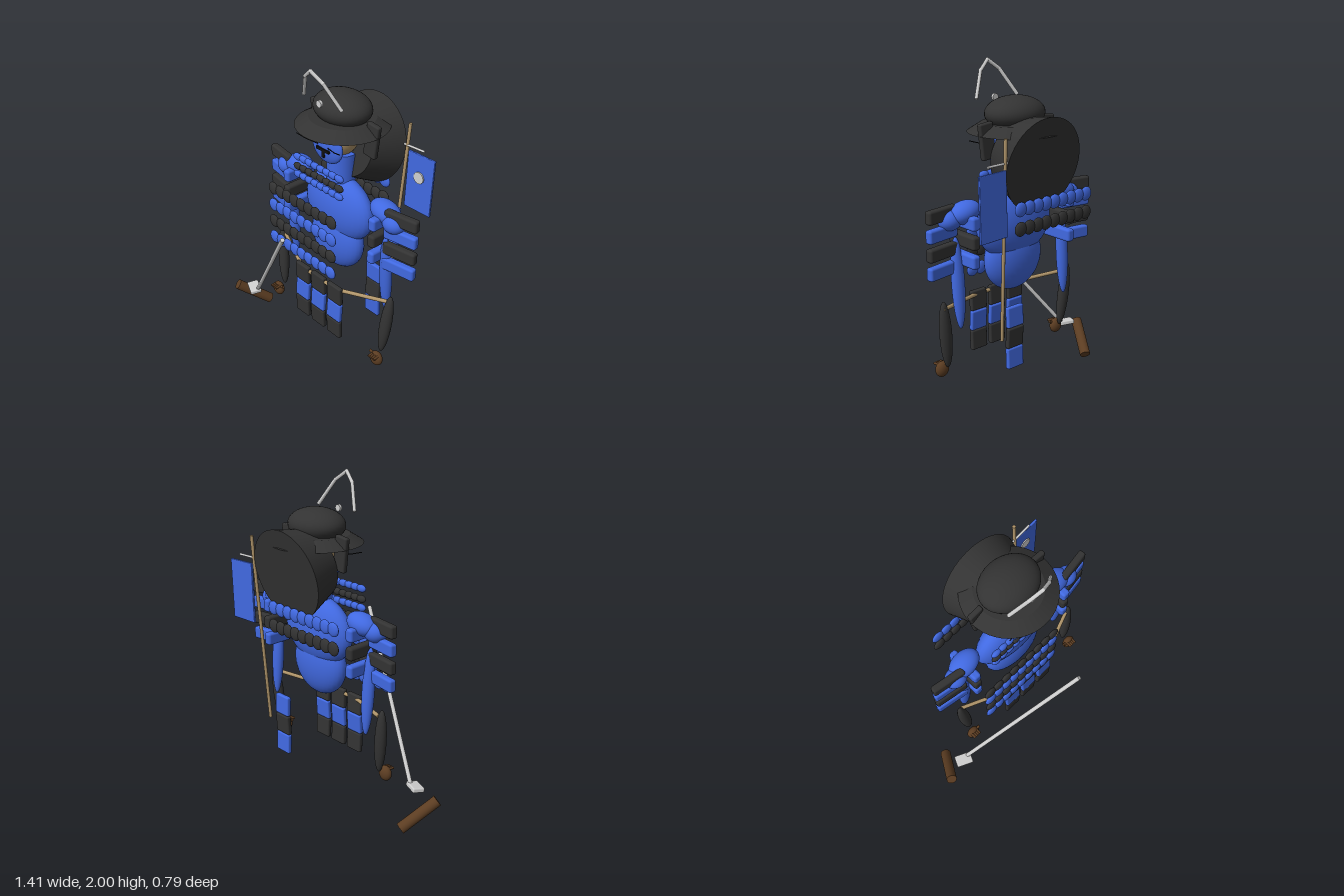
import * as THREE from 'three';
import { RoundedBoxGeometry } from 'three/addons/geometries/RoundedBoxGeometry.js';

const CX = 0.097; // symmetry axis of the figure

function material(name, color) {
  const m = new THREE.MeshStandardMaterial({ color });
  m.name = name;
  return m;
}

export function createModel() {
  const blue = material('blue', 0x4169e1);
  const dark = material('charcoal', 0x333333);
  const silver = material('silver', 0xd0d0d0);
  const brown = material('brown', 0x5c3d22);
  const tan = material('tan', 0xb0956a);
  const black = material('black', 0x111111);

  const root = new THREE.Group();
  root.name = 'armouredFigure';
  const sphere = new THREE.SphereGeometry(1, 32, 20);

  function add(name, geometry, mat, pos = [0, 0, 0], rot = [0, 0, 0], parent = root) {
    const mesh = new THREE.Mesh(geometry, mat);
    mesh.name = name;
    mesh.position.set(...pos);
    mesh.rotation.set(...rot);
    parent.add(mesh);
    return mesh;
  }
  function ellipsoid(name, mat, pos, radii, rot, parent) {
    const mesh = add(name, sphere, mat, pos, rot, parent);
    mesh.scale.set(...radii);
    return mesh;
  }
  function block(name, mat, size, pos, rot, parent) {
    const r = Math.min(...size) * 0.3;
    return add(name, new RoundedBoxGeometry(...size, 2, r), mat, pos, rot, parent);
  }
  function rod(name, mat, from, to, radius, sides = 12, parent = root) {
    const a = new THREE.Vector3(...from), b = new THREE.Vector3(...to);
    const dir = b.clone().sub(a);
    const mesh = add(name, new THREE.CylinderGeometry(radius, radius, dir.length(), sides), mat, [0, 0, 0], [0, 0, 0], parent);
    mesh.position.copy(a).add(b).multiplyScalar(0.5);
    mesh.quaternion.setFromUnitVectors(new THREE.Vector3(0, 1, 0), dir.normalize());
    return mesh;
  }
  function polyRod(name, mat, points, radius, sides) {
    const g = new THREE.Group();
    g.name = name;
    root.add(g);
    for (let i = 1; i < points.length; i++) {
      rod(name + 'Segment', mat, points[i - 1], points[i], radius, sides, g);
      if (i > 1) ellipsoid(name + 'Joint', mat, points[i - 1], [radius, radius, radius], [0, 0, 0], g);
    }
  }
  function beadRow(name, mat, count, x0, x1, y, z, radii) {
    const g = new THREE.Group();
    g.name = name;
    root.add(g);
    for (let i = 0; i < count; i++) {
      ellipsoid('bead', mat, [x0 + (x1 - x0) * i / (count - 1), y, z], radii, [0, 0, 0], g);
    }
  }

  // Helmet: dome, flared brim, badge and crest
  ellipsoid('helmetDome', dark, [CX, 1.72, -0.113], [0.183, 0.095, 0.148]);
  add('helmetBrim', new THREE.CylinderGeometry(0.19, 0.268, 0.05, 48), dark, [CX, 1.645, -0.115]);
  add('badge', new THREE.CylinderGeometry(0.02, 0.02, 0.016, 12), silver, [CX, 1.787, 0.055], [Math.PI / 2, 0, 0]);
  polyRod('crest', silver, [
    [CX - 0.15, 1.79, 0.035], [CX - 0.068, 1.935, 0.095], [CX, 1.988, 0.118],
    [CX + 0.068, 1.935, 0.095], [CX + 0.15, 1.79, 0.035]], 0.011, 6);

  // Neck guard: a wide tapered drum leaning behind the head
  add('neckGuard', new THREE.CylinderGeometry(0.204, 0.267, 0.205, 48), dark,
    [CX, 1.483, -0.246], [Math.PI / 2 - 0.176, 0, 0]);

  // Head, mask and neck
  ellipsoid('head', tan, [CX, 1.555, -0.11], [0.1, 0.12, 0.11]);
  ellipsoid('mask', blue, [CX, 1.517, -0.005], [0.118, 0.1, 0.033]);
  add('neck', new THREE.CylinderGeometry(0.087, 0.087, 0.17, 24), blue, [CX, 1.37, -0.115]);
  add('mouth', new THREE.BoxGeometry(0.1, 0.016, 0.016), black, [CX, 1.507, 0.028]);
  add('nose', new THREE.BoxGeometry(0.02, 0.05, 0.016), black, [CX, 1.484, 0.024]);

  // Upper body and belly
  ellipsoid('chest', blue, [CX, 1.1, -0.105], [0.265, 0.21, 0.105]);
  ellipsoid('belly', blue, [CX, 0.89, -0.095], [0.205, 0.2, 0.092]);

  // Mirrored parts
  for (const s of [-1, 1]) {
    const side = s > 0 ? 'left' : 'right';
    const X = d => CX + s * d;
    add(side + 'Eye', new THREE.BoxGeometry(0.035, 0.009, 0.012), black, [X(0.042), 1.57, 0.022], [0, 0, -s * 0.1]);
    rod(side + 'Whisker', black, [X(0.04), 1.53, 0.03], [X(0.115), 1.54, 0.052], 0.003, 6);
    rod(side + 'WhiskerTip', black, [X(0.115), 1.54, 0.052], [X(0.175), 1.558, 0.07], 0.003, 6);
    block(side + 'HelmetFlap', dark, [0.09, 0.2, 0.032], [X(0.217), 1.592, -0.13], [0, 0, -s * 0.12]);

    // Shoulder and arm
    ellipsoid(side + 'Shoulder', blue, [X(0.362), 1.222, -0.108], [0.102, 0.062, 0.07], [0, 0, -s * 0.2]);
    ellipsoid(side + 'Elbow', blue, [X(0.445), 1.19, -0.09], [0.07, 0.058, 0.06]);
    ellipsoid(side + 'Arm', blue, [X(0.402), 0.82, -0.095], [0.04, 0.265, 0.033], [0.07, 0, 0]);

    // Shoulder plates and side plates
    for (let i = 0; i < 4; i++) {
      block(side + 'ShoulderPlate', i % 2 ? blue : dark, [0.21, 0.076, 0.045],
        [X(0.5), 1.232 - i * 0.104, -0.09], [0, s * 0.16, 0]);
    }
    for (let i = 0; i < 3; i++) {
      block(side + 'SidePlate', i % 2 ? dark : blue, [0.052, 0.078, 0.22], [X(0.36), 1.175 - i * 0.108, -0.105]);
    }

    // Shin and clenched foot with toes
    ellipsoid(side + 'Shin', dark, [X(0.464), 0.513, -0.052], [0.038, 0.21, 0.032], [-0.05, 0, -s * 0.09]);
    ellipsoid(side + 'Foot', brown, [X(0.456), 0.28, 0.003], [0.044, 0.048, 0.03]);
    for (let i = 0; i < 4; i++) {
      const x = X(0.435 + i * 0.014);
      rod(side + 'Toe', brown, [x, 0.312, 0.005], [x, 0.306, 0.048], 0.008, 8);
    }
    rod(side + 'BigToe', brown, [X(0.44), 0.3, 0.005], [X(0.405), 0.314, 0.008], 0.009, 8);
  }

  // Bead lacing: collar rows, chest rows and back rows
  [[1.368, blue], [1.306, dark], [1.254, blue]].forEach(([y, m]) =>
    beadRow('collarLacing', m, 8, -0.13, 0.215, y, 0.017, [0.034, 0.022, 0.017]));
  for (let i = 0; i < 4; i++) {
    beadRow('chestLacing', i % 2 ? blue : dark, 9, -0.262, 0.242, 1.13 - i * 0.115, 0.098, [0.041, 0.041, 0.016]);
  }
  beadRow('backLacing', blue, 9, -0.262, 0.242, 1.24, -0.322, [0.041, 0.041, 0.016]);
  beadRow('backLacing', dark, 9, -0.262, 0.242, 1.13, -0.322, [0.041, 0.041, 0.016]);

  // Belt cord and hanging skirt plates
  polyRod('beltCord', tan, [[CX - 0.465, 0.68, -0.07], [CX - 0.155, 0.645, 0.055],
    [CX + 0.155, 0.645, 0.055], [CX + 0.49, 0.68, -0.07]], 0.012, 10);
  const tasset = (name, x, z, first, second) => {
    for (let i = 0; i < 3; i++) {
      block(name, i % 2 ? second : first, [0.115, 0.124, 0.03], [x, 0.61 - i * 0.126, z], [i === 1 ? -0.06 : 0.04, 0, 0]);
    }
  };
  for (const d of [-0.142, 0, 0.142]) tasset('frontSkirtPlate', CX + d, 0.055, dark, blue);
  tasset('backSkirtPlate', CX + 0.145, -0.272, blue, dark);

  // Back banner
  rod('bannerPole', tan, [0.35, 0.495, -0.288], [0.378, 1.645, -0.357], 0.01);
  rod('bannerCrossbar', silver, [0.355, 1.515, -0.345], [0.495, 1.515, -0.355], 0.007, 8);
  block('banner', blue, [0.188, 0.36, 0.014], [0.47, 1.302, -0.363], [0, 0.04, -0.02]);
  add('bannerDisc', new THREE.CylinderGeometry(0.036, 0.036, 0.008, 12), silver, [0.468, 1.342, -0.353], [Math.PI / 2, 0, 0]);

  // Sword: blade, guard and loose grip
  rod('blade', silver, [0.167, 1.105, 0.385], [-0.49, 0.235, 0.08], 0.013, 8);
  block('swordGuard', silver, [0.11, 0.03, 0.075], [-0.527, 0.226, 0.083], [0.15, -0.43, 0]);
  rod('swordGrip', brown, [-0.672, 0.185, 0.115], [-0.563, 0.03, -0.077], 0.034, 20);

  return root;
}
